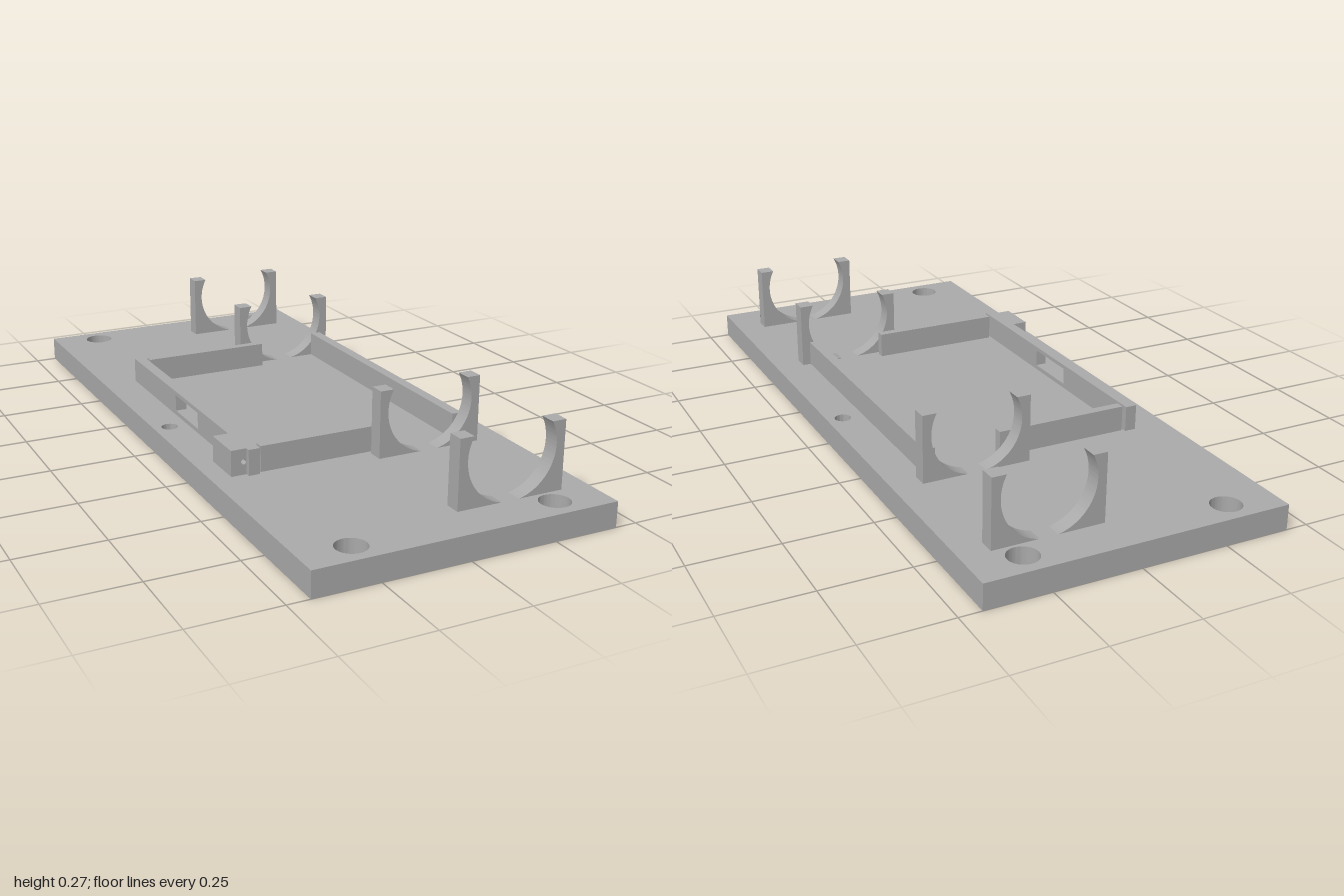
import * as THREE from 'three';
import { toCreasedNormals } from 'three/addons/utils/BufferGeometryUtils.js';

const BASE_TOP = 0.073, WALL_TOP = 0.147;

export function createModel() {
  const model = new THREE.Group();
  const grey = new THREE.MeshStandardMaterial({ color: 0xaaaaaa });
  grey.name = 'grey plastic';

  const add = (name, geometry) => {
    const mesh = new THREE.Mesh(geometry, grey);
    mesh.name = name;
    model.add(mesh);
    return mesh;
  };

  const rectangle = (x0, x1, y0, y1, Type = THREE.Shape) => new Type([
    new THREE.Vector2(x0, y0), new THREE.Vector2(x1, y0),
    new THREE.Vector2(x1, y1), new THREE.Vector2(x0, y1),
  ]);

  const circle = (x, y, r) => new THREE.Path().absarc(x, y, r, 0, Math.PI * 2, true);

  const extrude = (shape, depth) => toCreasedNormals(new THREE.ExtrudeGeometry(shape, {
    depth, bevelEnabled: false, curveSegments: 32,
  }), 0.5);

  // Box standing on the base plate
  const wall = (name, x0, x1, z0, z1) => {
    const box = new THREE.BoxGeometry(x1 - x0, WALL_TOP - BASE_TOP, z1 - z0);
    add(name, box).position.set((x0 + x1) / 2, (BASE_TOP + WALL_TOP) / 2, (z0 + z1) / 2);
  };

  // Base plate with four corner holes and two small side holes
  const plate = rectangle(-0.437, 0.437, -1, 1);
  for (const x of [-1, 1]) {
    for (const z of [-1, 1]) plate.holes.push(circle(x * 0.294, z * 0.928, 0.043));
    plate.holes.push(circle(x * 0.389, 0, 0.024));
  }
  add('basePlate', extrude(plate, BASE_TOP).rotateX(-Math.PI / 2));

  // Cradles: each is a pair of mirrored arms around a round seat
  const centreX = 0.194, centreY = 0.2045, radius = 0.134, top = 0.268, halfWidth = 0.159;
  const lowAngle = Math.asin((BASE_TOP - centreY) / radius);
  const highAngle = Math.asin((top - centreY) / radius);
  const armShape = (side) => {
    const arm = new THREE.Shape();
    const mirror = (a) => (side > 0 ? a : Math.PI - a);
    arm.moveTo(centreX + side * halfWidth, top);
    arm.lineTo(centreX + side * halfWidth, BASE_TOP);
    arm.lineTo(centreX + side * radius * Math.cos(lowAngle), BASE_TOP);
    arm.absarc(centreX, centreY, radius, mirror(lowAngle), mirror(highAngle), side < 0);
    arm.closePath();
    return arm;
  };
  for (const z of [-0.853, -0.463, 0.463, 0.853]) {
    for (const side of [-1, 1]) {
      add('cradleArm', extrude(armShape(side), 0.046)).position.z = z - 0.023;
    }
  }

  // Tray walls
  wall('leftTrayWall', 0.297, 0.328, -0.44, 0.44);
  wall('frontTrayWall', -0.295, 0.097, 0.401, 0.427);
  wall('backTrayWall', -0.295, 0.097, -0.429, -0.403);

  // Slotted wall, drawn along z and turned upright
  const slotted = rectangle(-0.438, 0.438, BASE_TOP, WALL_TOP);
  slotted.holes.push(rectangle(-0.085, 0.085, 0.086, 0.135, THREE.Path));
  const slottedWall = add('slottedTrayWall', extrude(slotted, 0.033));
  slottedWall.rotation.y = Math.PI / 2;
  slottedWall.position.x = -0.335;

  // Corner block with a small bore along z
  const block = rectangle(-0.38, -0.335, BASE_TOP, WALL_TOP);
  block.holes.push(circle(-0.3435, 0.11, 0.0075));
  add('boredBlock', extrude(block, 0.122)).position.z = 0.302;

  return model;
}
